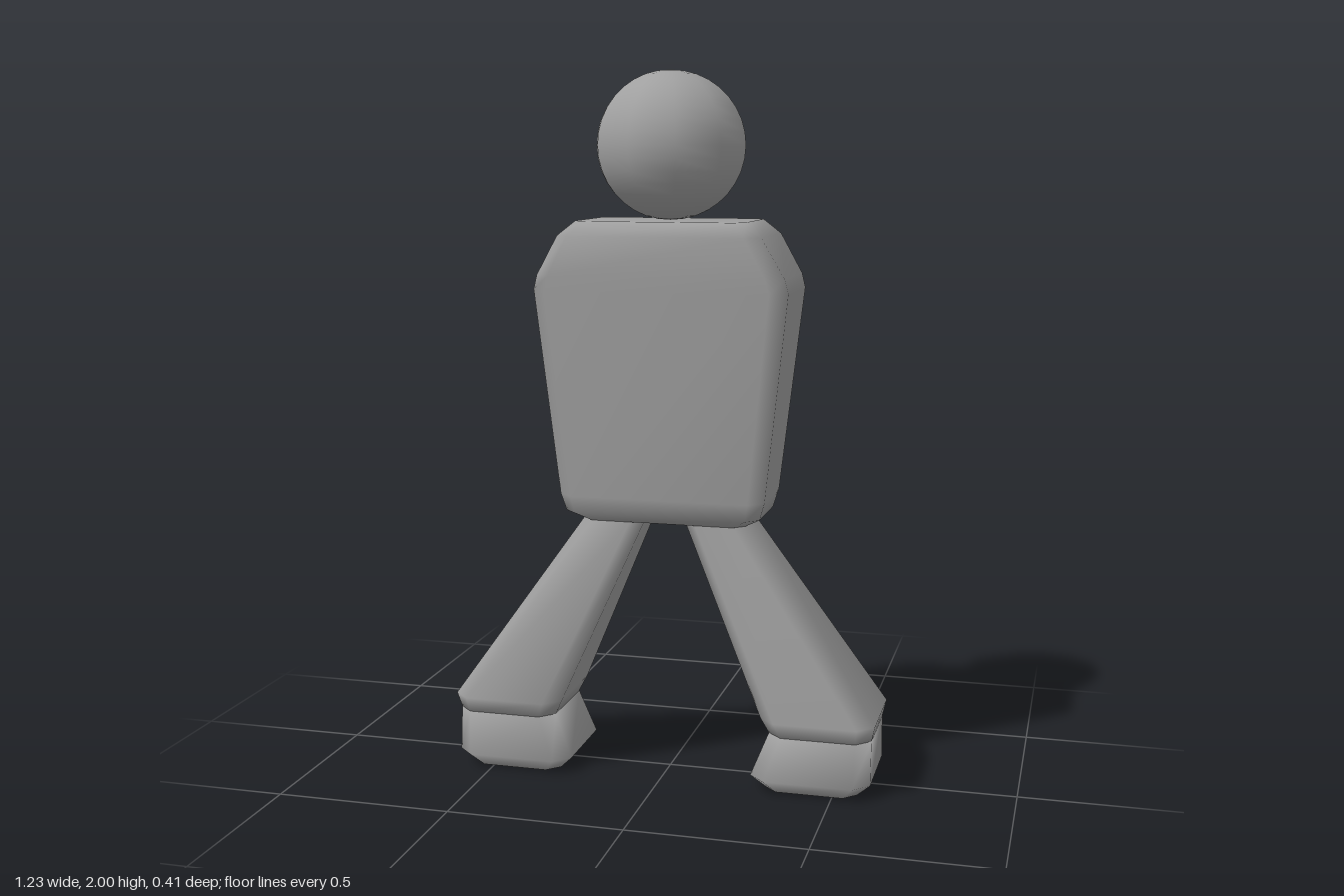
import * as THREE from 'three';

const grey = new THREE.MeshStandardMaterial({ color: 0xa0a0a0 });
grey.name = 'plain grey';

// Closed loft through horizontal rectangles with cut corners.
// Each section is [y, xMin, xMax, half depth, corner cut].
function loft(sections) {
  const positions = [];
  const index = [];
  const n = 8;
  for (const [y, a, b, z, c] of sections) {
    const ring = [
      [b, z - c], [b, c - z], [b - c, -z], [a + c, -z],
      [a, c - z], [a, z - c], [a + c, z], [b - c, z],
    ];
    for (const [px, pz] of ring) positions.push(px, y, pz);
  }
  for (let s = 0; s < sections.length - 1; s++) {
    for (let i = 0; i < n; i++) {
      const p = s * n + i, q = s * n + (i + 1) % n;
      index.push(p, q, q + n, p, q + n, p + n);
    }
  }
  const top = (sections.length - 1) * n;
  for (let i = 1; i < n - 1; i++) {
    index.push(0, i + 1, i);
    index.push(top, top + i, top + i + 1);
  }
  const geometry = new THREE.BufferGeometry();
  geometry.setAttribute('position', new THREE.Float32BufferAttribute(positions, 3));
  geometry.setIndex(index);
  geometry.computeVertexNormals();
  return geometry;
}

function add(parent, name, geometry) {
  const mesh = new THREE.Mesh(geometry, grey);
  mesh.name = name;
  parent.add(mesh);
  return mesh;
}

export function createModel() {
  const model = new THREE.Group();
  model.name = 'figure';

  // Head: ten-sided ball
  const head = add(model, 'head', new THREE.SphereGeometry(0.2135, 10, 18));
  head.scale.y = 0.96;
  head.position.y = 1.795;

  // Torso: bevelled block, widest at the shoulders
  add(model, 'torso', loft([
    [0.745, -0.235, 0.235, 0.10, 0.03],
    [0.77, -0.28, 0.28, 0.132, 0.035],
    [0.82, -0.295, 0.295, 0.145, 0.04],
    [1.40, -0.36, 0.36, 0.174, 0.045],
    [1.44, -0.35, 0.35, 0.176, 0.045],
    [1.55, -0.287, 0.287, 0.18, 0.04],
    [1.59, -0.24, 0.24, 0.15, 0.03],
  ]));

  // Legs: splayed and flaring, each ending in a foot
  for (const [side, s] of [['left', 1], ['right', -1]]) {
    const mirror = ([y, a, b, z, c]) => (s > 0 ? [y, a, b, z, c] : [y, -b, -a, z, c]);
    add(model, side + 'Leg', loft([
      [0.165, 0.315, 0.605, 0.152, 0.04],
      [0.21, 0.293, 0.615, 0.17, 0.045],
      [0.75, 0.057, 0.235, 0.096, 0.035],
      [0.79, 0.06, 0.19, 0.075, 0.03],
    ].map(mirror)));
    add(model, side + 'Foot', loft([
      [0, 0.305, 0.565, 0.135, 0.035],
      [0.04, 0.265, 0.605, 0.17, 0.045],
      [0.165, 0.315, 0.605, 0.152, 0.04],
    ].map(mirror)));
  }
  return model;
}
